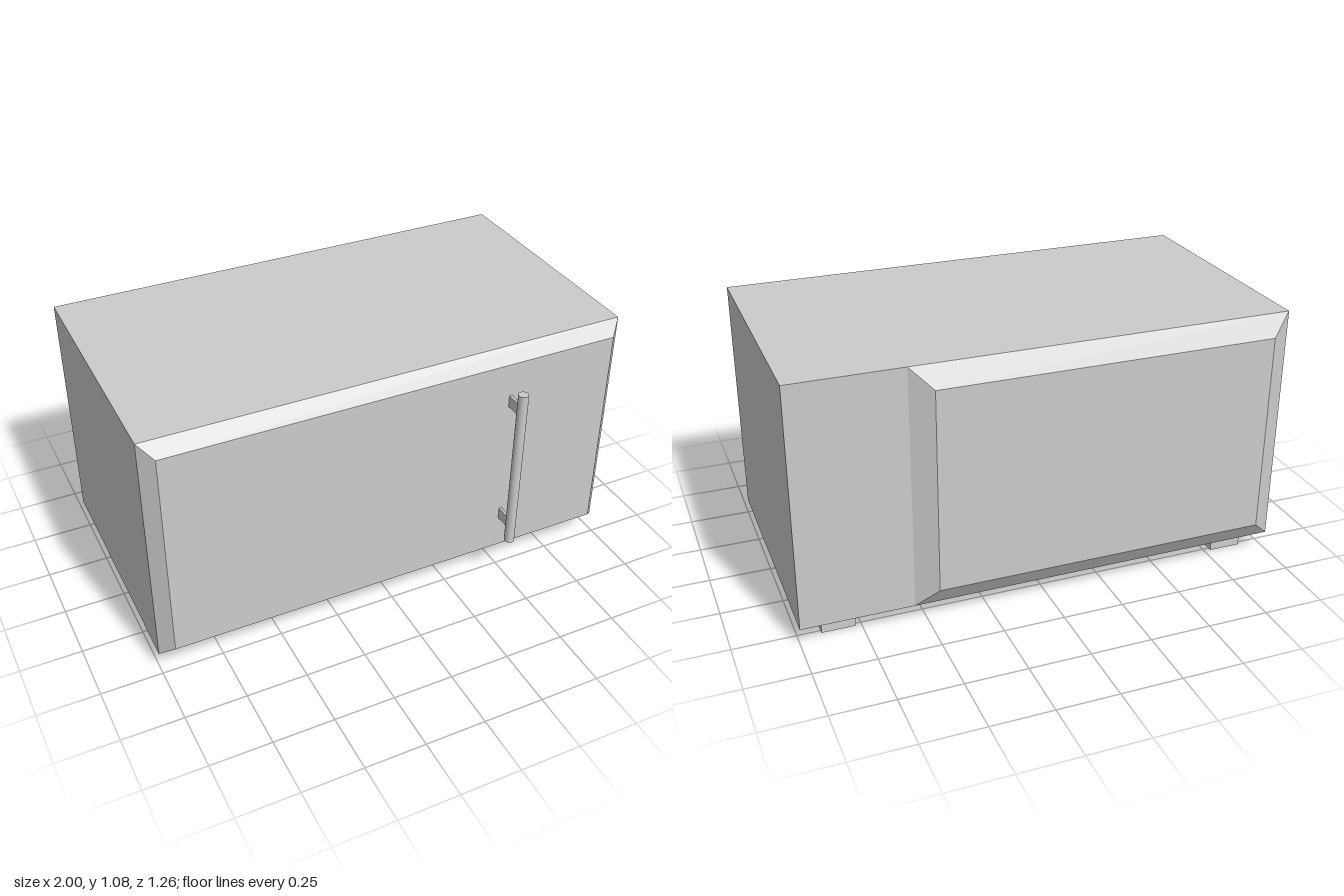
import * as THREE from 'three';

const material = new THREE.MeshStandardMaterial({ color: 0xcccccc, flatShading: true });

// Lofts a solid through rectangles [x0, x1, y0, y1, z], ordered from back to front.
function loftRects(rects, capBack, capFront) {
  const rings = rects.map(([x0, x1, y0, y1, z]) =>
    [[x0, y0, z], [x1, y0, z], [x1, y1, z], [x0, y1, z]]);
  const positions = [];
  const quad = (a, b, c, d) => positions.push(...a, ...b, ...c, ...a, ...c, ...d);
  for (let i = 0; i < rings.length - 1; i++) {
    const back = rings[i], front = rings[i + 1];
    for (let j = 0; j < 4; j++) {
      const k = (j + 1) % 4;
      quad(back[j], back[k], front[k], front[j]);
    }
  }
  if (capBack) quad(...[...rings[0]].reverse());
  if (capFront) quad(...rings[rings.length - 1]);
  const geometry = new THREE.BufferGeometry();
  geometry.setAttribute('position', new THREE.Float32BufferAttribute(positions, 3));
  geometry.computeVertexNormals();
  return geometry;
}

export function createModel() {
  const model = new THREE.Group();
  model.name = 'microwaveOven';
  const add = (name, geometry, x = 0, y = 0, z = 0, mat = material, parent = model) => {
    const mesh = new THREE.Mesh(geometry, mat);
    mesh.name = name;
    mesh.position.set(x, y, z);
    parent.add(mesh);
    return mesh;
  };

  // Casing with a bevelled front door face
  add('casing', loftRects([
    [-1, 1, 0.077, 1.075, -0.577],
    [-1, 1, 0.077, 1.075, 0.47],
    [-0.947, 0.947, 0.127, 1.023, 0.523],
  ], true, true));

  // Raised panel on the back, stopping short of the left side
  add('backPanel', loftRects([
    [-0.915, 0.465, 0.157, 0.992, -0.628],
    [-1, 0.55, 0.077, 1.075, -0.577],
  ], true, false));

  // Vertical bar handle on two thin brackets
  const handle = new THREE.Group();
  handle.name = 'handle';
  model.add(handle);
  const smooth = new THREE.MeshStandardMaterial({ color: 0xcccccc });
  add('handleBar', new THREE.CylinderGeometry(0.021, 0.021, 0.718, 24), 0.485, 0.575, 0.607, smooth, handle);
  for (const y of [0.298, 0.855]) {
    add('handleBracket', new THREE.BoxGeometry(0.012, 0.05, 0.08), 0.485, y, 0.558, material, handle);
  }

  // Four feet, very slightly wider at the floor
  const foot = new THREE.BoxGeometry(0.136, 0.08, 0.15);
  const p = foot.attributes.position;
  for (let i = 0; i < p.count; i++) {
    if (p.getY(i) > 0) p.setXYZ(i, p.getX(i) * 0.96, p.getY(i), p.getZ(i) * 0.96);
  }
  foot.computeVertexNormals();
  for (const x of [-0.845, 0.84]) {
    for (const z of [-0.441, 0.291]) add('foot', foot, x, 0.04, z);
  }
  return model;
}
